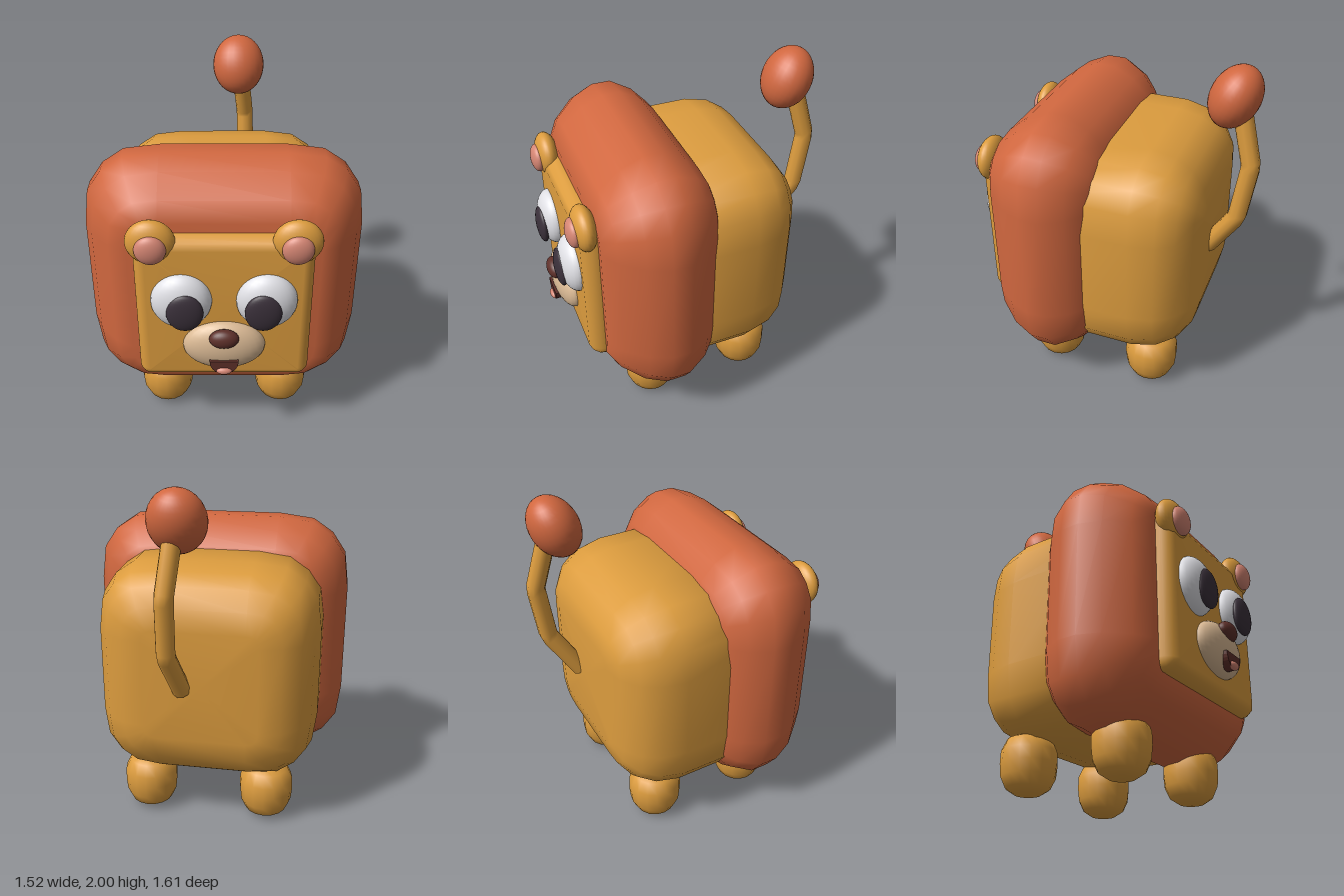
import * as THREE from 'three';

const mat = (name, color) => {
  const m = new THREE.MeshStandardMaterial({ color });
  m.name = name;
  return m;
};

// One quarter of a soft corner, for a unit radius
const CORNER = [[1, 0], [0.94, 0.47], [0.75, 0.75], [0.47, 0.94], [0, 1]];

// Soft box: rounded rectangles stacked along z, each section is [z, inset]
function softBox(hx, hy, r, sections) {
  const pos = [], index = [];
  const n = CORNER.length * 4;
  for (const [z, inset] of sections) {
    const rad = Math.max(r - inset, 0.005);
    for (let q = 0; q < 4; q++) {
      const sx = q === 0 || q === 3 ? 1 : -1;
      const sy = q < 2 ? 1 : -1;
      const arc = q % 2 ? [...CORNER].reverse() : CORNER;
      for (const [a, b] of arc) {
        pos.push(sx * (hx - r + a * rad), sy * (hy - r + b * rad), z);
      }
    }
  }
  const last = (sections.length - 1) * n;
  for (let i = 0; i < last; i += n) {
    for (let j = 0; j < n; j++) {
      const k = (j + 1) % n;
      index.push(i + j, i + k, i + n + j, i + k, i + n + k, i + n + j);
    }
  }
  // End caps
  const back = pos.length / 3;
  pos.push(0, 0, sections[0][0], 0, 0, sections[sections.length - 1][0]);
  for (let j = 0; j < n; j++) {
    const k = (j + 1) % n;
    index.push(back, k, j, back + 1, last + j, last + k);
  }
  const g = new THREE.BufferGeometry();
  g.setAttribute('position', new THREE.Float32BufferAttribute(pos, 3));
  g.setIndex(index);
  g.computeVertexNormals();
  return g;
}

export function createModel() {
  const root = new THREE.Group();
  root.name = 'blockyLion';
  const gold = mat('goldFur', 0xdc9c3e);
  const orange = mat('orangeMane', 0xd0673f);
  const white = mat('eyeWhite', 0xe0e0e5);
  const dark = mat('pupilDark', 0x3a303a);
  const cream = mat('muzzleCream', 0xdab994);
  const brown = mat('noseBrown', 0x5e302a);
  const pink = mat('softPink', 0xd48573);

  const add = (name, geo, material, x = 0, y = 0, z = 0) => {
    const m = new THREE.Mesh(geo, material);
    m.name = name;
    m.position.set(x, y, z);
    root.add(m);
    return m;
  };
  const ball = (name, material, [x, y, z], [rx, ry, rz]) =>
    add(name, new THREE.SphereGeometry(1, 28, 18).scale(rx, ry, rz), material, x, y, z);

  // Body, mane and face plate
  add('body', softBox(0.63, 0.63, 0.38, [
    [-0.57, 0.31], [-0.545, 0.19], [-0.475, 0.09], [-0.38, 0.03], [-0.24, 0], [0.35, 0],
  ]), gold, 0, 0.9, 0);
  add('mane', softBox(0.76, 0.74, 0.42, [
    [-0.04, 0.24], [0, 0.15], [0.08, 0.065], [0.2, 0], [0.31, 0],
    [0.43, 0.05], [0.55, 0.15], [0.61, 0.25],
  ]), orange, 0, 0.95, 0);
  add('face', softBox(0.475, 0.46, 0.07, [
    [0.54, 0.01], [0.6, 0], [0.64, 0.006], [0.675, 0.03], [0.692, 0.065],
  ]), gold, 0, 0.93, 0);

  // Legs
  const legProfile = [
    [0, 0], [0.07, 0.006], [0.122, 0.04], [0.15, 0.1], [0.157, 0.17],
    [0.155, 0.24], [0.125, 0.305], [0.07, 0.328], [0, 0.332],
  ].map(([x, y]) => new THREE.Vector2(x, y));
  const legGeo = new THREE.LatheGeometry(legProfile, 16);

  for (const s of [1, -1]) {
    const side = s > 0 ? 'left' : 'right';
    add(side + 'FrontLeg', legGeo, gold, s * 0.35, 0, 0.305);
    add(side + 'BackLeg', legGeo, gold, s * 0.35, 0, -0.305);
    // Ears and eyes
    ball(side + 'Ear', gold, [s * 0.375, 1.363, 0.655], [0.13, 0.125, 0.067]);
    ball(side + 'InnerEar', pink, [s * 0.372, 1.347, 0.71], [0.082, 0.082, 0.042]);
    ball(side + 'Eye', white, [s * 0.225, 1.02, 0.69], [0.162, 0.167, 0.09]);
    ball(side + 'Pupil', dark, [s * 0.205, 0.992, 0.764], [0.098, 0.114, 0.034]);
  }

  // Muzzle and nose
  ball('muzzle', cream, [0, 0.725, 0.69], [0.224, 0.155, 0.09]);
  ball('nose', brown, [0, 0.817, 0.762], [0.08, 0.056, 0.045]);

  // Open mouth with a straight upper edge, and the tongue
  const mouth = new THREE.Shape();
  mouth.moveTo(-0.078, 0.678);
  mouth.bezierCurveTo(-0.075, 0.565, 0.075, 0.565, 0.078, 0.678);
  mouth.closePath();
  add('mouth', new THREE.ExtrudeGeometry(mouth, { depth: 0.05, bevelEnabled: false, curveSegments: 16 }),
    brown, 0, 0, 0.738);
  ball('tongue', pink, [0, 0.614, 0.785], [0.043, 0.022, 0.022]);

  // Tail with its tuft
  const path = new THREE.CurvePath();
  const pts = [[0.1, 0.88, -0.55], [0.145, 1.14, -0.71], [0.137, 1.47, -0.757], [0.1, 1.8, -0.67]]
    .map((p) => new THREE.Vector3(...p));
  for (let i = 0; i < 3; i++) path.add(new THREE.LineCurve3(pts[i], pts[i + 1]));
  add('tail', new THREE.TubeGeometry(path, 24, 0.052, 10), gold);
  ball('tailTuft', orange, [0.09, 1.83, -0.633], [0.155, 0.178, 0.133]).rotation.x = -0.42;

  return root;
}
